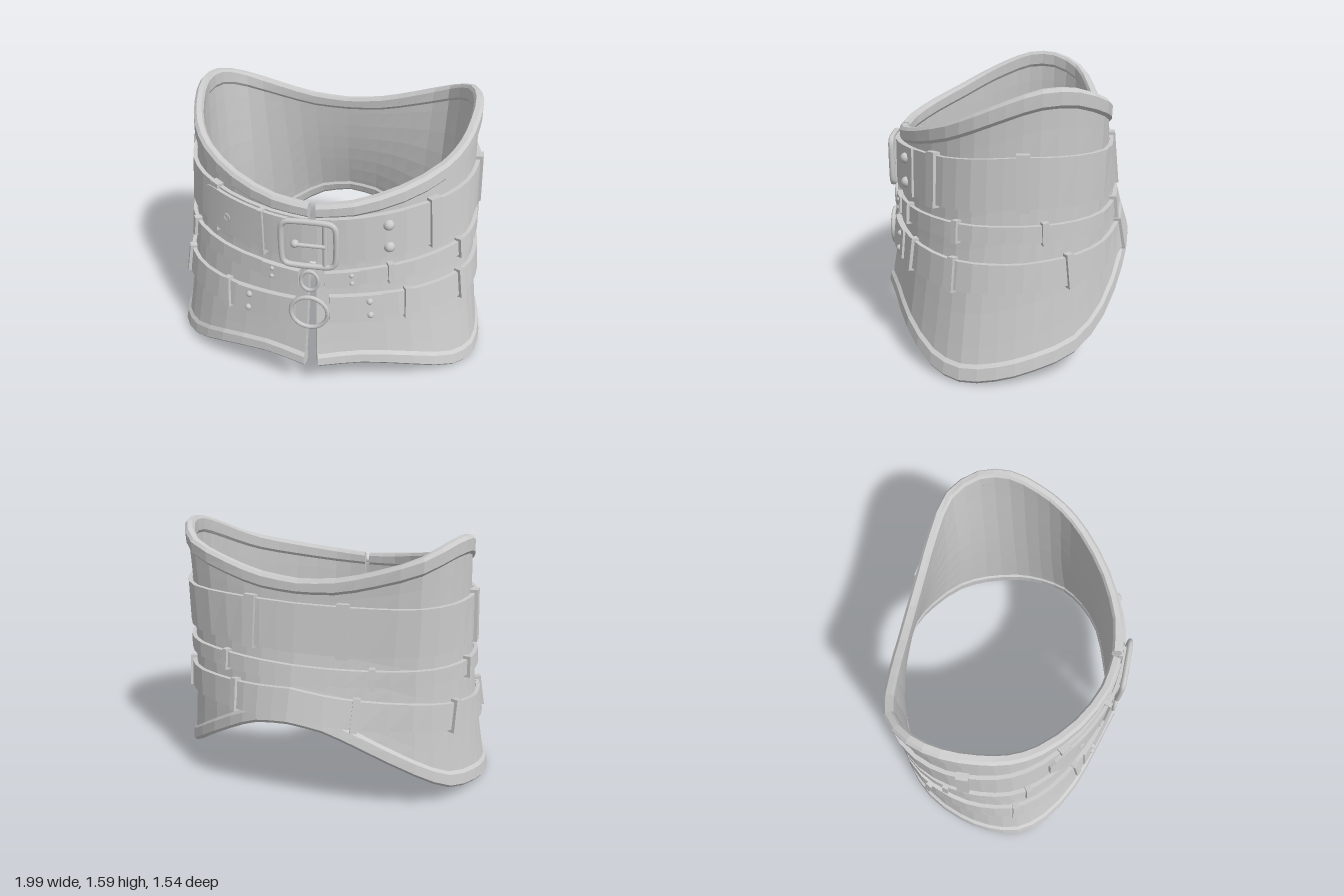
import * as THREE from 'three';

const V = (x, y, z) => new THREE.Vector3(x, y, z);
const material = new THREE.MeshStandardMaterial({ color: 0xcccccc, flatShading: true });
const smooth = new THREE.MeshStandardMaterial({ color: 0xcccccc });

// Lower and upper edge of one half, from the front slit round to the back
const curve = pts => new THREE.CatmullRomCurve3(pts.map(p => V(...p)));
const lower = curve([[.04, .2, .75], [.3, .2, .67], [.6, .14, .57], [.83, .04, .42], [.95, .01, .26], [.98, .03, .06],
  [.95, .07, -.14], [.85, .13, -.37], [.68, .26, -.54], [.4, .44, -.68], [.2, .54, -.74], [0, .57, -.76]]);
const upper = curve([[.02, 1.25, .64], [.22, 1.27, .61], [.47, 1.32, .49], [.68, 1.39, .31], [.78, 1.46, .16], [.83, 1.53, 0],
  [.85, 1.59, -.18], [.81, 1.59, -.36], [.68, 1.52, -.52], [.45, 1.44, -.57], [.22, 1.38, -.585], [0, 1.36, -.59]]);

// w runs once around: 0 = front slit, 11 = back, 22 = front slit again
function locate(w) {
  w = ((w % 22) + 22) % 22;
  return w <= 11 ? [1, w / 11] : [-1, (22 - w) / 11];
}
function edges(w) {
  const a = locate(w)[1];
  return [lower.getPoint(a).y, upper.getPoint(a).y];
}
// Point on the waisted surface at height y, pushed outward by off
function surface(w, y, off = 0) {
  const [side, a] = locate(w);
  const b = lower.getPoint(a), t = upper.getPoint(a);
  const v = (y - b.y) / (t.y - b.y);
  const a0 = Math.max(0, a - .02), a1 = Math.min(1, a + .02);
  const d = lower.getPoint(a1).lerp(upper.getPoint(a1), v)
    .sub(lower.getPoint(a0).lerp(upper.getPoint(a0), v));
  const n = V(-d.z, 0, d.x);
  if (a > .999) n.set(0, 0, -1);
  n.normalize();
  const p = b.lerp(t, v);
  p.y = y;
  p.addScaledVector(n, off - .03 * Math.sin(Math.PI * THREE.MathUtils.clamp(v, 0, 1)));
  p.x *= side;
  return p;
}

// Sweep a closed section (list of [y, offset], outer side up, inner side down) around the body
function band(name, w0, w1, steps, section) {
  const pos = [], idx = [];
  let m = 0;
  for (let i = 0; i <= steps; i++) {
    // stay just short of 22 so the end keeps to its own side of the slit
    const w = Math.min(w0 + (w1 - w0) * i / steps, 21.9999);
    const s = section(w);
    m = s.length;
    for (const [y, off] of s) pos.push(...surface(w, y, off).toArray());
  }
  const quad = (a, b, c, d) => idx.push(a, b, c, a, c, d);
  for (let i = 0; i < steps; i++)
    for (let j = 0; j < m; j++) {
      const k = (j + 1) % m;
      quad(i * m + j, (i + 1) * m + j, (i + 1) * m + k, i * m + k);
    }
  const e = steps * m;
  for (let j = 0; j < m / 2 - 1; j++) {
    quad(j, j + 1, m - 2 - j, m - 1 - j);
    quad(e + m - 1 - j, e + m - 2 - j, e + j + 1, e + j);
  }
  const g = new THREE.BufferGeometry();
  g.setAttribute('position', new THREE.Float32BufferAttribute(pos, 3));
  g.setIndex(idx);
  g.computeVertexNormals();
  const mesh = new THREE.Mesh(g, material);
  mesh.name = name;
  return mesh;
}

// Strap centre heights at fixed stations around the body
const stations = [0, 3, 5.5, 8, 11, 14, 16.5, 19, 22];
const heightOf = table => w => {
  w = ((w % 22) + 22) % 22;
  let i = 0;
  while (i < 7 && w > stations[i + 1]) i++;
  return THREE.MathUtils.mapLinear(w, stations[i], stations[i + 1], table[i], table[i + 1]);
};
const flat = (y, h, inner, outer) => [[y - h, outer], [y + h, outer], [y + h, inner], [y - h, inner]];

export function createModel() {
  const model = new THREE.Group();
  const add = (name, geometry, p, mat = smooth) => {
    const mesh = new THREE.Mesh(geometry, mat);
    mesh.name = name;
    mesh.position.copy(p);
    model.add(mesh);
    return mesh;
  };

  // Shell
  model.add(band('shell', 0, 22, 44, w => {
    const [b, t] = edges(w), s = [];
    for (let i = 0; i <= 8; i++) s.push([b + .02 + (t - b - .04) * i / 8, 0]);
    for (let i = 8; i >= 0; i--) s.push([b + .02 + (t - b - .04) * i / 8, -.03]);
    return s;
  }));

  // Padded rims
  const rim = (y0, y1) => [[y0, 0], [y0 + .018, .016], [y1 - .018, .016], [y1, 0],
    [y1, -.03], [y1 - .018, -.042], [y0 + .018, -.042], [y0, -.03]];
  const rimHeight = w => .08 + .025 * Math.sin(Math.PI * locate(w)[1]);
  model.add(band('topRim', 0, 22, 44, w => rim(edges(w)[1] - rimHeight(w), edges(w)[1])));
  model.add(band('bottomRim', 0, 22, 44, w => rim(edges(w)[0], edges(w)[0] + rimHeight(w))));

  // Straps with their keeper loops and rivets; negative w lies on the right side
  const straps = [
    { name: 'wideBelt', y: heightOf([1.04, 1.075, 1.115, 1.11, 1.1, 1.11, 1.11, 1.075, 1.04]), h: .135, from: 0, to: 22,
      loops: [2.65, 5.55, 9.7, -2.45, -5.55, -9.7], loopW: .07, rivets: [1.63], rivetR: .032, rivetY: .07 },
    { name: 'narrowStrap', y: heightOf([.785, .825, .84, .85, .85, .85, .83, .8, .785]), h: .045, from: .2, to: 21.8,
      loops: [1.65, 3.55, 6.2, 8.9, -3.5, -6.2, -8.9], loopW: .035, rivets: [.85, -.9], rivetR: .014, rivetY: .025 },
    { name: 'lowerStrap', y: heightOf([.6, .59, .6, .64, .69, .62, .53, .51, .57]), h: .08, from: .3, to: 21.7,
      loops: [1.95, 3.5, 6.85, 9.2, -1.95, -4, -6.85, -9.2], loopW: .04, rivets: [1.2, -1.4], rivetR: .02, rivetY: .045 }
  ];
  for (const s of straps) {
    model.add(band(s.name, s.from, s.to, 44, w => flat(s.y(w), s.h, .004, .028)));
    for (const w of s.loops) {
      const y = s.y(w);
      const along = surface(w + .1, s.y(w + .1)).sub(surface(w - .1, s.y(w - .1))).normalize();
      const up = surface(w, y + .1).sub(surface(w, y - .1));
      const out = along.clone().cross(up).normalize();
      const loop = add(s.name + 'Loop', new THREE.BoxGeometry(s.loopW, 2 * s.h + .035, .045),
        surface(w, y, .022), material);
      loop.quaternion.setFromRotationMatrix(new THREE.Matrix4().makeBasis(along, out.clone().cross(along), out));
    }
    for (const w of s.rivets)
      for (const k of [-1, 1])
        add(s.name + 'Rivet', new THREE.SphereGeometry(s.rivetR, 12, 8), surface(w, s.y(w) + k * s.rivetY, .038));
  }
  const [wide, narrow, low] = straps;

  // Folded strap ends and the tapered belt tongue
  const fold = (s, a, b) => model.add(band(s.name + 'Fold', a, b, 4, w => flat(s.y(w), s.h + .004, .02, .04)));
  fold(wide, .4, 1.95);
  fold(narrow, .2, 1.05);
  fold(narrow, 20.85, 21.8);
  fold(low, .3, 1.45);
  fold(low, 20.3, 21.7);
  model.add(band('beltTongue', -2.85, .3, 24, w => {
    const t = THREE.MathUtils.clamp((-2.4 - w) / .5, 0, 1);
    return flat(wide.y(w) + .005, .122 * Math.sqrt(1 - t * t), .03, .05);
  }));
  const hole = surface(-2, 1.05, .05);
  add('tongueEyelet', new THREE.TorusGeometry(.022, .005, 6, 14), hole).rotation.y = -.5;

  // Keeper beside the buckle
  const keeper = add('tongueKeeper', new THREE.BoxGeometry(.03, .29, .06), surface(-1.15, 1.045, .035), material);
  keeper.rotation.y = -.35;

  // Rounded buckle frame, bar and prong
  const r = .045, hw = .15, hh = .14, corners = [];
  for (const [sx, sy, start] of [[1, 1, 0], [-1, 1, 1], [-1, -1, 2], [1, -1, 3]])
    for (let i = 0; i <= 3; i++) {
      const q = (start + i / 3) * Math.PI / 2;
      corners.push(V(sx * (hw - r) + r * Math.cos(q), sy * (hh - r) + r * Math.sin(q), 0));
    }
  const frame = new THREE.CatmullRomCurve3(corners, true);
  const zBuckle = surface(0, 1.04, .055).z;
  add('buckleFrame', new THREE.TubeGeometry(frame, 64, .017, 8, true), V(-.01, 1.035, zBuckle));
  add('buckleBar', new THREE.CylinderGeometry(.014, .014, .27, 8), V(.08, 1.035, zBuckle));
  add('buckleProng', new THREE.CylinderGeometry(.012, .012, .17, 8), V(0, 1.035, zBuckle + .012)).rotation.z = Math.PI / 2;
  add('prongTip', new THREE.SphereGeometry(.024, 10, 8), V(-.085, 1.035, zBuckle + .005));

  // Rings joining the two lower straps
  add('narrowRing', new THREE.TorusGeometry(.05, .01, 8, 20), V(-.01, .785, surface(0, .785, .035).z)).scale.y = 1.3;
  add('lowerRing', new THREE.TorusGeometry(.107, .013, 8, 28), V(-.01, .58, surface(0, .58, .035).z));
  return model;
}
